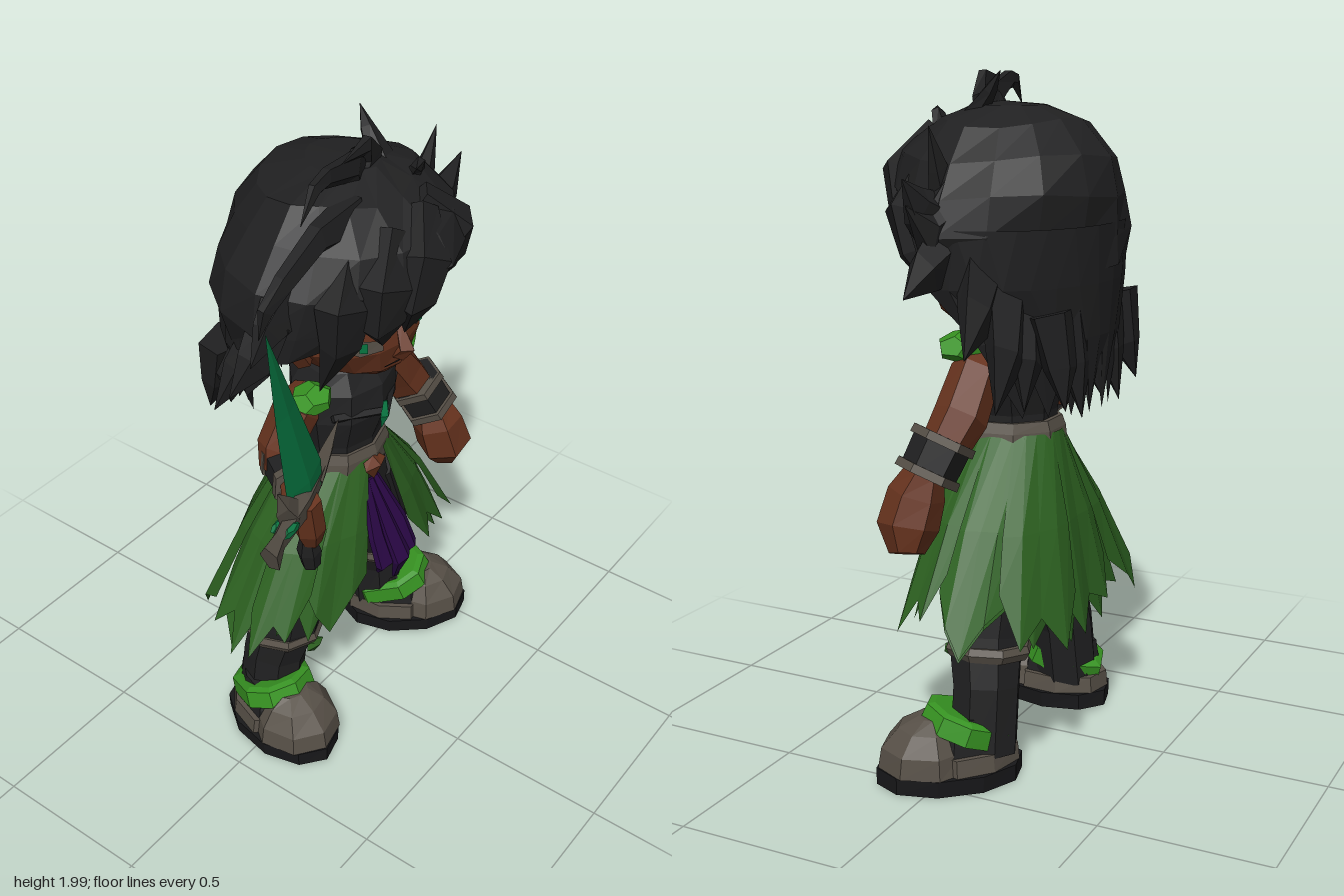
import * as THREE from 'three';

const paint = (name, color, side = THREE.FrontSide) => {
  const m = new THREE.MeshStandardMaterial({ color, side });
  m.name = name;
  return m;
};

// Faceted surface through rows of points; closed rows wrap round, caps fill the ends
function loft(rows, closed = true, caps = closed) {
  const pos = [], n = rows[0].length;
  const tri = (...p) => p.forEach(q => pos.push(q[0], q[1], q[2]));
  for (let r = 0; r < rows.length - 1; r++) {
    for (let i = 0; i < (closed ? n : n - 1); i++) {
      const j = (i + 1) % n, a = rows[r], b = rows[r + 1];
      tri(a[i], a[j], b[j]);
      tri(a[i], b[j], b[i]);
    }
  }
  if (caps) for (let i = 1; i < n - 1; i++) {
    const a = rows[0], b = rows[rows.length - 1];
    tri(a[0], a[i + 1], a[i]);
    tri(b[0], b[i], b[i + 1]);
  }
  const g = new THREE.BufferGeometry();
  g.setAttribute('position', new THREE.Float32BufferAttribute(pos, 3));
  g.computeVertexNormals();
  return g;
}

// Horizontal ring, angle 0 at the front, with separate front and back depths
const around = (a, cx, y, rx, zf, zb) => [cx + rx * Math.sin(a), y, Math.cos(a) * (Math.cos(a) > 0 ? zf : zb)];
const ring = (n, cx, y, rx, zf, zb) => Array.from({ length: n }, (_, i) => around(i / n * Math.PI * 2, cx, y, rx, zf, zb));
const stack = (n, rings) => loft(rings.map(r => ring(n, ...r)));
// Radius factor turning a circle into a diamond (p < 2) or a rounded square (p > 2)
const squareness = (a, p) => 1 / Math.pow(Math.pow(Math.abs(Math.sin(a)), p) + Math.pow(Math.abs(Math.cos(a)), p), 1 / p);

// Tapered tube through [x, y, z, radius] points, flattened by f
function limb(pts, sides = 7, f = 1) {
  const P = pts.map(p => new THREE.Vector3(p[0], p[1], p[2]));
  return loft(P.map((p, k) => {
    const t = P[Math.min(k + 1, P.length - 1)].clone().sub(P[Math.max(k - 1, 0)]).normalize();
    const ref = Math.abs(t.z) > 0.85 ? new THREE.Vector3(0, -1, 0) : new THREE.Vector3(0, 0, 1);
    const u = ref.cross(t).normalize(), v = t.clone().cross(u), r = Math.max(pts[k][3], 0.001);
    return Array.from({ length: sides }, (_, i) => {
      const a = i / sides * Math.PI * 2;
      return p.clone().addScaledVector(u, r * Math.cos(a)).addScaledVector(v, r * f * Math.sin(a)).toArray();
    });
  }));
}

export function createModel() {
  const D = THREE.DoubleSide;
  const black = paint('black', 0x202021, D), sole = paint('soleBlack', 0x18181a), skin = paint('skin', 0x67331e),
    grey = paint('grey', 0x575047), green = paint('leafGreen', 0x2c6020, D), bright = paint('brightGreen', 0x379322),
    emerald = paint('emerald', 0x067440, D), purple = paint('purple', 0x290744, D);
  const root = new THREE.Group();
  const part = (name, parent = root) => { const g = new THREE.Group(); g.name = name; parent.add(g); return g; };
  const add = (g, name, geo, mat) => { const m = new THREE.Mesh(geo, mat); m.name = name; g.add(m); return m; };
  const lump = (g, name, mat, p, s, rz = 0) => {
    const m = add(g, name, new THREE.DodecahedronGeometry(1), mat);
    m.position.set(...p); m.scale.set(...s); m.rotation.z = rz;
  };

  // Torso and belt
  const body = part('body');
  add(body, 'vest', stack(9, [[.04, .9, .14, .11, .15], [.04, 1.02, .14, .11, .15], [.05, 1.12, .17, .14, .17],
    [.06, 1.21, .17, .13, .18], [.06, 1.27, .14, .09, .14], [.06, 1.34, .07, .06, .08]]), black);
  add(body, 'belt', stack(9, [[.04, .92, .17, .13, .18], [.04, .97, .16, .13, .175], [.04, 1, .148, .12, .165]]), grey);
  add(body, 'buckle', limb([[.02, .89, .135, 0], [.02, .945, .14, .05], [.02, .96, .12, .035]], 4, .4), skin);
  add(body, 'chestStrap', limb([[-.1, 1.15, .07, .014], [.05, 1.13, .15, .014], [.2, 1.15, .07, .014]], 4), black);
  add(body, 'pendant', limb([[.03, 1.08, .15, 0], [.04, 1.12, .155, .024], [.055, 1.16, .145, .012]], 4, .5), emerald);
  add(body, 'hips', stack(9, [[.04, .6, .13, .09, .14], [.04, .72, .21, .12, .16], [.04, .92, .15, .11, .15]]), black);
  lump(body, 'rightShoulderPad', bright, [-.145, 1.235, .03], [.065, .034, .065], .2);
  lump(body, 'leftShoulderPad', bright, [.265, 1.235, .035], [.07, .042, .07], -.25);

  // Head and face
  const head = part('head');
  const prof = [[.06, 1.26, .07, .14, .04], [.06, 1.31, .16, .19, .1], [.06, 1.39, .225, .205, .16],
    [.06, 1.5, .235, .19, .2], [.06, 1.66, .22, .18, .2]];
  add(head, 'face', stack(14, prof), skin);
  const surface = (x, y) => {
    let k = 0;
    while (k < prof.length - 2 && y > prof[k + 1][1]) k++;
    const t = (y - prof[k][1]) / (prof[k + 1][1] - prof[k][1]), mix = i => prof[k][i] + t * (prof[k + 1][i] - prof[k][i]);
    return mix(3) * Math.sqrt(Math.max(0, 1 - ((x - .06) / mix(2)) ** 2));
  };
  const patch = (name, mat, lift, low, high) =>
    add(head, name, loft([low, high].map(r => r.map(([x, y]) => [x, y, surface(x, y) + lift])), false), mat);
  patch('leftBrow', black, .008, [[.06, 1.455], [.12, 1.475], [.19, 1.495], [.27, 1.5]], [[.075, 1.495], [.13, 1.53], [.2, 1.55], [.265, 1.54]]);
  patch('leftEyeRim', black, .006, [[.08, 1.435], [.12, 1.415], [.18, 1.41], [.22, 1.44]], [[.08, 1.45], [.12, 1.475], [.18, 1.49], [.23, 1.49]]);
  patch('leftEye', emerald, .01, [[.125, 1.42], [.155, 1.41], [.19, 1.425]], [[.13, 1.445], [.155, 1.455], [.19, 1.455]]);
  patch('rightBrow', black, .008, [[-.15, 1.5], [-.1, 1.485], [-.05, 1.47], [.02, 1.455]], [[-.15, 1.53], [-.1, 1.53], [-.05, 1.51], [.01, 1.48]]);
  patch('rightEyeRim', grey, .006, [[-.13, 1.42], [-.09, 1.395], [-.03, 1.4]], [[-.13, 1.445], [-.09, 1.445], [-.03, 1.43]]);
  patch('rightEye', emerald, .01, [[-.095, 1.41], [-.075, 1.405]], [[-.095, 1.44], [-.075, 1.437]]);
  patch('mouth', sole, .005, [[-.01, 1.327], [.04, 1.33], [.1, 1.325]], [[-.01, 1.332], [.04, 1.337], [.1, 1.33]]);
  add(head, 'nose', limb([[.045, 1.35, .19, .025], [.045, 1.38, .218, .028], [.05, 1.45, .185, .012]], 4), skin);
  for (const s of [-1, 1]) add(head, s < 0 ? 'rightEar' : 'leftEar',
    limb([[.06 + s * .2, 1.35, 0, .03], [.06 + s * .24, 1.41, 0, .035], [.06 + s * .25, 1.46, -.03, 0]], 5), skin);

  // Hair: uneven crown coming to a point in front, curtain over the back, then loose locks
  const hair = part('hair');
  const crown = [[.05, 1.46, .4, .2, .34], [.05, 1.55, .415, .28, .35], [.055, 1.66, .385, .34, .355],
    [.06, 1.76, .325, .3, .32], [.05, 1.85, .24, .19, .24], [.06, 1.895, .11, .09, .13], [.06, 1.905, .001, .001, .001]]
    .map(([cx, y, rx, zf, zb], k) => Array.from({ length: 16 }, (_, i) => {
      const a = i * Math.PI / 8, r = (1 + .03 * Math.sin(i * 7.3 + k * 4.1)) * squareness(a, Math.cos(a) > 0 ? 1.6 : 1.85);
      const lift = ([.17, .1, .02][k] || 0) * Math.max(0, Math.cos(a - .35)) ** 4;
      return around(a, cx, y + lift + .012 * Math.sin(i * 5.1 + k) * (k < 5), rx * r, zf * r, zb * r);
    }));
  add(hair, 'crown', loft(crown, true, false), black);
  const curtain = [[1.08, .27, .31, 2.15], [1.27, .36, .33, 1.85], [1.42, .39, .34, 1.45], [1.58, .4, .345, 1.25]].map(([y, rx, zb, from], k) =>
    Array.from({ length: 17 }, (_, i) => around(from + i * (Math.PI - from) / 8, .06,
      k ? y : y + (i % 2 ? .09 : -.03) + (i > 12 ? .07 : 0), rx * (i % 2 && k < 2 ? .93 : 1), .3, zb)));
  add(hair, 'curtain', loft(curtain, false), black);
  const tufts = [
    [[.04, 1.84, .03, .08], [-.02, 1.92, .07, .045], [-.17, 1.96, .1, .03], [-.23, 1.955, .11, .025], [-.3, 1.885, .12, 0]],
    [[.04, 1.85, .04, .08], [.07, 1.92, .05, .06], [.03, 1.965, .08, .03], [-.1, 1.97, .1, 0]],
    [[-.06, 1.8, .1, .08], [-.22, 1.81, .11, .05], [-.36, 1.745, .11, .04], [-.42, 1.69, .1, .03], [-.44, 1.61, .09, 0]],
    [[.13, 1.75, .12, .07], [.14, 1.87, .05, .055], [.16, 1.94, -.01, .03], [.18, 1.99, -.05, 0]],
    [[.2, 1.78, .1, .06], [.17, 1.87, .15, .03], [.12, 1.89, .18, 0]],
    [[.33, 1.62, .03, .08], [.39, 1.74, .03, .04], [.44, 1.85, .03, 0]],
    [[.34, 1.56, .03, .11], [.49, 1.64, .04, .06], [.565, 1.72, .04, 0]]];
  const sideLocks = [
    [[.36, 1.62, 0, .1], [.47, 1.57, .02, .07], [.55, 1.65, .04, 0]],
    [[.36, 1.54, 0, .12], [.49, 1.47, .02, .07], [.585, 1.41, .03, 0]],
    [[.34, 1.45, -.08, .12], [.46, 1.36, -.12, .08], [.57, 1.26, -.14, 0]],
    [[.33, 1.38, -.14, .11], [.43, 1.25, -.19, .08], [.51, 1.11, -.2, 0]],
    [[.28, 1.38, -.16, .1], [.35, 1.22, -.21, .07], [.4, 1.1, -.23, 0]],
    [[-.25, 1.62, .04, .11], [-.36, 1.57, .05, .06], [-.43, 1.5, .05, 0]],
    [[-.25, 1.52, 0, .12], [-.36, 1.45, 0, .07], [-.44, 1.38, -.02, 0]],
    [[-.22, 1.44, -.06, .11], [-.3, 1.36, -.1, .07], [-.39, 1.27, -.12, 0]],
    [[-.18, 1.4, -.12, .1], [-.23, 1.28, -.18, .07], [-.23, 1.17, -.2, 0]]];
  const bangs = [
    [[.1, 1.8, .22, .06], [.02, 1.7, .29, .1], [-.02, 1.6, .29, .08], [.03, 1.44, .22, 0]],
    [[-.02, 1.78, .21, .06], [-.1, 1.66, .25, .1], [-.1, 1.56, .24, .09], [-.06, 1.44, .21, 0]],
    [[-.12, 1.74, .15, .06], [-.19, 1.62, .18, .11], [-.19, 1.5, .17, .08], [-.2, 1.32, .1, 0]],
    [[.1, 1.82, .2, .05], [.2, 1.7, .26, .08], [.24, 1.6, .22, .07], [.27, 1.47, .17, 0]],
    [[.24, 1.72, .15, .06], [.31, 1.6, .17, .1], [.325, 1.5, .14, .07], [.31, 1.37, .08, 0]]];
  const backLocks = [-.18, -.06, .06, .18, .28].map((x, i) =>
    [[x, 1.35, -.25, .1], [x, 1.2, -.28, .07], [x * 1.1, 1.09 - (i % 2) * .04, -.31, 0]]);
  [...tufts, ...sideLocks, ...bangs, ...backLocks].forEach((p, i) => add(hair, 'lock' + (i + 1), limb(p, 5, .6), black));

  // Skirt of broad ragged leaves, open at the front, squarer behind
  const skirt = part('skirt');
  const leaf = (a, da, hem, out, jag) => loft([0, .45, 1].map(k => Array.from({ length: 5 }, (_, i) => {
    const y = .965 + (hem - .965) * k + (k === 1 ? jag[i] : 0), b = a + (i / 2 - 1) * da * (1 - .12 * k);
    const s = Math.pow((.965 - y) / .5, .8), bump = ((i % 2 ? .01 : -.005) + out) * s;
    const q = Math.cos(b) < 0 ? 1 + (squareness(b, 2.8) - 1) * Math.min(1, s) : 1;
    return around(b, .045, y, (.145 + .33 * s + bump) * q, .125 + .09 * s + bump, (.17 + .11 * s + bump) * q);
  })).reverse(), false);
  const jags = [[.16, .02, .08, -.02, .11], [.1, -.02, .07, .03, .15], [.13, .05, -.03, .06, .1]];
  for (let i = 0; i < 9; i++) {
    const a = .66 + i * (Math.PI * 2 - 1.32) / 8, back = (1 - Math.cos(a)) / 2;
    add(skirt, 'outerLeaf' + (i + 1), leaf(a, .4, .51 - .1 * back, i % 2 ? .025 : 0, jags[i % 3]), green);
  }
  for (let i = 0; i < 6; i++) {
    const a = 1.05 + i * (Math.PI * 2 - 2.1) / 5, back = (1 - Math.cos(a)) / 2;
    add(skirt, 'innerLeaf' + (i + 1), leaf(a, .45, .5 - .12 * back, -.035, jags[(i + 1) % 3]), green);
  }

  // Pleated cloth hanging in front
  const cloth = part('frontCloth');
  [[-.03, .01, .58], [.02, .035, .54], [.075, .02, .58]].forEach(([x, lean, hem], i) => add(cloth, 'clothStrip' + (i + 1),
    limb([[.02 + (x - .02) * .4, .88, .12, .018], [x, .72, .18 + lean * .5, .036], [x, .63, .21 + lean, .042], [x + .01, hem, .18 + lean, .015]], 5, .45), purple));

  // Legs, knee bands and boots
  const leg = (name, path, foot, turn) => {
    const g = part(name), knee = path[2];
    add(g, 'trousers', limb(path, 8), black);
    const band = add(g, 'kneeBand', stack(8, [[0, -.022, .118, .118, .118], [0, 0, .13, .13, .13], [0, .02, .122, .122, .122]]), grey);
    band.position.set(knee[0], .37, knee[2] - .01);
    band.rotation.z = turn * .15;
    add(g, 'kneeLeaf', limb([[knee[0], .315, knee[2] + .11, 0], [knee[0], .345, knee[2] + .115, .04], [knee[0], .36, knee[2] + .09, .03]], 4, .5), green);
    const b = part('boot', g);
    b.position.set(foot[0], 0, foot[1]);
    b.rotation.y = turn;
    add(b, 'sole', stack(10, [[0, 0, .14, .215, .215], [0, .05, .145, .215, .215]]), sole);
    add(b, 'heel', stack(9, [[0, .05, .12, .1, .19], [0, .13, .105, .06, .18], [0, .2, .09, .02, .17]]), black);
    add(b, 'heelTrim', stack(9, [[0, .05, .135, .05, .208], [0, .1, .127, .05, .203]]), grey);
    const toe = add(b, 'toeCap', stack(8, [[0, .05, .138, .15, .13], [0, .11, .13, .14, .11], [0, .165, .095, .09, .08], [0, .195, .05, .03, .06]]), grey);
    toe.position.z = .06;
    const strap = add(b, 'strap', stack(8, [[0, -.035, .122, .115, .18], [0, .02, .118, .11, .175], [0, .03, .1, .09, .15]]), bright);
    strap.position.set(0, .17, -.03);
    strap.rotation.x = -.38;
  };
  leg('rightLeg', [[-.07, .82, -.02, .12], [-.17, .58, -.03, .135], [-.21, .4, -.03, .112], [-.23, .27, -.06, .1], [-.25, .08, -.07, .1]], [-.28, .005], -.2);
  leg('leftLeg', [[.15, .82, -.02, .12], [.25, .58, -.05, .14], [.3, .4, -.06, .112], [.335, .27, -.08, .1], [.355, .08, -.08, .1]], [.412, 0], .72);

  // Arms
  const bracer = (g, a, b, r) => {
    const at = t => a.map((v, i) => v + (b[i] - v) * t);
    add(g, 'bracer', limb([[...at(0), r], [...at(1), r * .95]], 6), black);
    for (const t of [0, .8]) add(g, 'bracerRim', limb([[...at(t), r * 1.1], [...at(t + .2), r * 1.12]], 6), grey);
  };
  const leftArm = part('leftArm');
  add(leftArm, 'upperArm', limb([[.18, 1.21, -.01, .05], [.26, 1.16, -.01, .072], [.34, 1.05, -.005, .078], [.41, .94, .03, .065]], 6), skin);
  bracer(leftArm, [.385, 1, .02], [.435, .89, .055], .085);
  add(leftArm, 'fist', limb([[.43, .91, .06, .055], [.435, .84, .085, .082], [.46, .75, .1, .088], [.485, .68, .09, .05]], 6), skin);
  const rightArm = part('rightArm');
  add(rightArm, 'upperArm', limb([[-.08, 1.2, -.03, .05], [-.14, 1.17, -.03, .07], [-.2, 1.06, -.05, .065], [-.22, 1, -.04, .055]], 6), skin);
  bracer(rightArm, [-.2, 1.02, -.05], [-.29, 1.03, .08], .06);
  add(rightArm, 'hand', limb([[-.28, 1.03, .07, .045], [-.33, 1.02, .13, .06], [-.37, 1.02, .18, .045]], 6), skin);
  add(rightArm, 'fingers', limb([[-.345, .92, .18, .03], [-.36, .98, .185, .047], [-.385, 1.1, .19, .045]], 6), skin);

  // Sword
  const sword = part('sword');
  add(sword, 'grip', limb([[-.335, .82, .17, .028], [-.345, .88, .17, .036], [-.355, .93, .175, .025], [-.4, 1.1, .19, .025]], 6), black);
  add(sword, 'blade', limb([[-.375, 1.1, .19, .07], [-.395, 1.18, .195, .078], [-.485, 1.46, .21, .043], [-.585, 1.76, .235, 0]], 4, .25), emerald);
  add(sword, 'guard', limb([[-.595, 1.055, .235, .06], [-.54, 1.075, .222, .038], [-.4, 1.11, .195, .06], [-.29, 1.14, .17, .038], [-.2, 1.16, .15, 0]], 5, .45), grey);
  add(sword, 'outerHorn', limb([[-.46, 1.1, .205, .05], [-.51, 1.17, .215, .033], [-.54, 1.235, .22, 0]], 4, .5), grey);
  add(sword, 'innerHorn', limb([[-.32, 1.12, .175, .05], [-.25, 1.17, .16, .033], [-.18, 1.235, .15, 0]], 4, .5), grey);
  for (const s of [-1, 1]) lump(sword, 'guardGem', emerald, [-.5, 1.09, .212 + s * .02], [.037, .018, .012], .15);
  return root;
}
